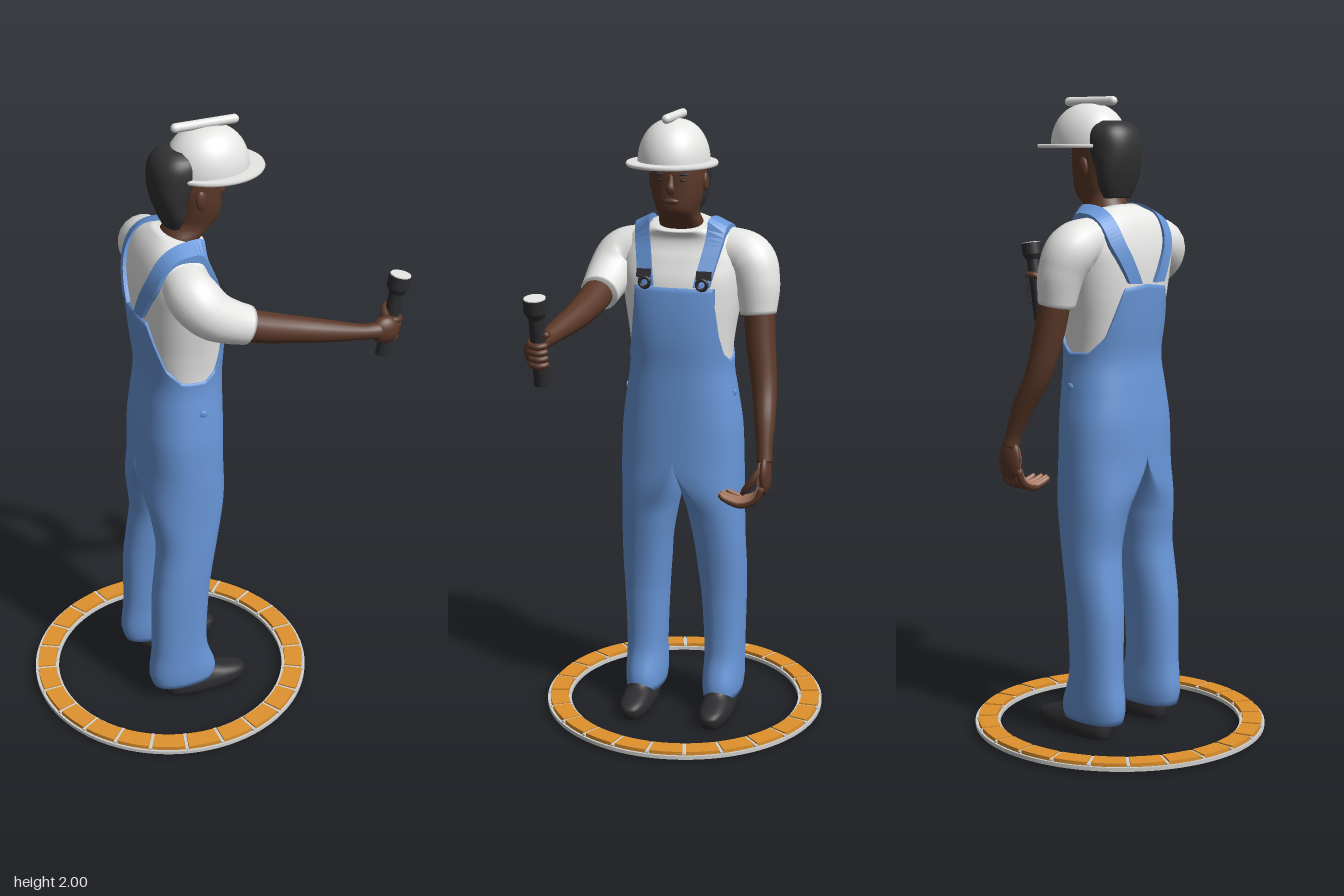
import * as THREE from 'three';

const mat = (name, color) => {
  const m = new THREE.MeshStandardMaterial({ color });
  m.name = name;
  return m;
};

// Smooth interpolation of table rows [t, a, b, ...]
function sample(rows, t) {
  let i = 0;
  while (i < rows.length - 2 && t > rows[i + 1][0]) i++;
  const p = rows[i], q = rows[i + 1], o = rows[i - 1] || p, r = rows[i + 2] || q;
  const h = q[0] - p[0], s = THREE.MathUtils.clamp((t - p[0]) / h, 0, 1);
  return p.slice(1).map((a, k) => {
    const b = q[k + 1];
    const m0 = (b - o[k + 1]) / (q[0] - o[0]) * h, m1 = (r[k + 1] - a) / (r[0] - p[0]) * h;
    return a * (2 * s ** 3 - 3 * s * s + 1) + m0 * (s ** 3 - 2 * s * s + s) + b * (3 * s * s - 2 * s ** 3) + m1 * (s ** 3 - s * s);
  });
}

// Surface closed around u, fn(u, v) returns a point
function grid(nu, nv, fn) {
  const pos = [], idx = [];
  for (let j = 0; j <= nv; j++) for (let i = 0; i < nu; i++) pos.push(...fn(i / nu, j));
  for (let j = 0; j < nv; j++) for (let i = 0; i < nu; i++) {
    const k = (i + 1) % nu, a = j * nu + i, b = j * nu + k, c = a + nu, d = b + nu;
    idx.push(a, c, b, b, c, d);
  }
  const g = new THREE.BufferGeometry();
  g.setAttribute('position', new THREE.Float32BufferAttribute(pos, 3));
  g.setIndex(idx);
  g.computeVertexNormals();
  return g;
}

// Point on an oval section [xBack, xFront, zMin, zMax]
function oval([xb, xf, z0, z1], u, n, off = 0) {
  const a = u * Math.PI * 2, c = Math.cos(a), s = Math.sin(a), e = 2 / n;
  return [(xb + xf) / 2 + Math.sign(c) * Math.abs(c) ** e * ((xf - xb) / 2 + off),
    (z0 + z1) / 2 + Math.sign(s) * Math.abs(s) ** e * ((z1 - z0) / 2 + off)];
}

// Upright loft of oval sections with closed ends
function loft(rows, n = 2.3, nu = 40, nv = 40) {
  const y0 = rows[0][0], y1 = rows[rows.length - 1][0];
  return grid(nu, nv + 2, (u, j) => {
    const y = y0 + (y1 - y0) * THREE.MathUtils.clamp((j - 1) / nv, 0, 1);
    const s = sample(rows, y);
    if (j === 0 || j === nv + 2) return [(s[0] + s[1]) / 2, y, (s[2] + s[3]) / 2];
    const [x, z] = oval(s, u, n);
    return [x, y, z];
  });
}
const even = rows => rows.map(([y, b, f, r]) => [y, b, f, -r, r]);

// Limb through points [x, y, z, radius]
function limb(pts, nu = 20, nv = 24) {
  const curve = new THREE.CatmullRomCurve3(pts.map(p => new THREE.Vector3(p[0], p[1], p[2])));
  const fr = curve.computeFrenetFrames(nv), radii = pts.map((p, i) => [i / (pts.length - 1), p[3]]);
  return grid(nu, nv + 2, (u, j) => {
    const k = THREE.MathUtils.clamp(j - 1, 0, nv), a = u * Math.PI * 2;
    const r = j === 0 || j === nv + 2 ? 0 : sample(radii, k / nv)[0];
    return curve.getPoint(k / nv).addScaledVector(fr.normals[k], r * Math.cos(a))
      .addScaledVector(fr.binormals[k], -r * Math.sin(a)).toArray();
  });
}

// Flat ring sector lying between heights y0 and y1
function sector(r0, r1, y0, y1, half) {
  const s = new THREE.Shape();
  s.absarc(0, 0, r1, -half, half, false);
  if (half < 3) s.absarc(0, 0, r0, half, -half, true);
  else s.holes.push(new THREE.Path().absarc(0, 0, r0, -half, half, true));
  return new THREE.ExtrudeGeometry(s, { depth: y1 - y0, bevelEnabled: false, curveSegments: half < 3 ? 6 : 96 })
    .rotateX(-Math.PI / 2).translate(0, y0, 0);
}

const TOP = 1.668, NT = 2.4;
const TORSO = even([[0.86, -0.217, 0.043, 0.194], [1.0, -0.215, 0.043, 0.188], [1.1, -0.205, 0.043, 0.174],
  [1.2, -0.195, 0.043, 0.16], [1.3, -0.205, 0.048, 0.168], [1.4, -0.213, 0.043, 0.185], [1.48, -0.215, 0.03, 0.198],
  [1.54, -0.21, 0.006, 0.205], [1.59, -0.195, -0.012, 0.195], [1.63, -0.172, -0.015, 0.158], [TOP, -0.137, 0.004, 0.084]]);

// Point of the torso surface at angle deg (front = 0, up = 90) in the plane z
function onTorso(deg, z, off) {
  const c = Math.cos(deg * Math.PI / 180), s = Math.sin(deg * Math.PI / 180);
  let lo = 0, hi = 0.3;
  for (let i = 0; i < 24; i++) {
    const r = (lo + hi) / 2, x = -0.1 + r * c, y = 1.46 + r * s;
    const [xb, xf, , rz] = sample(TORSO, Math.min(y, TOP));
    const f = (Math.abs(x - (xb + xf) / 2) / ((xf - xb) / 2)) ** NT + Math.abs(z / rz) ** NT;
    if (y < TOP && f < 1) lo = r; else hi = r;
  }
  return [-0.1 + (lo + off) * c, 1.46 + (lo + off) * s, z];
}

export function createModel() {
  const model = new THREE.Group();
  const blue = mat('overallsBlue', 0x6896d8), white = mat('white', 0xe9eae8), skin = mat('skin', 0x5b3828),
    palm = mat('palmSkin', 0xa87a62), black = mat('black', 0x2c2c2f), orange = mat('orange', 0xe0922d),
    grey = mat('ringGrey', 0xd0d0ce), hairMat = mat('hairBlack', 0x333234);
  const add = (name, geo, m, p = [0, 0, 0], s = [1, 1, 1], parent = model) => {
    const mesh = new THREE.Mesh(geo, m);
    mesh.name = name;
    mesh.position.set(...p);
    mesh.scale.set(...s);
    parent.add(mesh);
    return mesh;
  };
  const ball = new THREE.SphereGeometry(1, 28, 20);

  // Tiled floor ring
  const ring = new THREE.Group();
  ring.name = 'floorRing';
  ring.position.x = -0.11;
  model.add(ring);
  add('ringBase', sector(0.386, 0.466, 0.012, 0.02, Math.PI), grey, undefined, undefined, ring);
  add('ringOuterRim', sector(0.459, 0.466, 0.02, 0.024, Math.PI), grey, undefined, undefined, ring);
  add('ringInnerRim', sector(0.386, 0.393, 0.02, 0.024, Math.PI), grey, undefined, undefined, ring);
  const tileGeo = sector(0.396, 0.456, 0.02, 0.034, 0.117), barGeo = new THREE.BoxGeometry(0.072, 0.01, 0.01);
  for (let i = 0; i < 24; i++) {
    const a = i * Math.PI / 12;
    add('ringTile', tileGeo, orange, undefined, undefined, ring).rotation.y = a + Math.PI / 24;
    add('ringDivider', barGeo, grey, [0.426 * Math.cos(a), 0.025, -0.426 * Math.sin(a)], undefined, ring).rotation.y = a;
  }

  // Shirt, its neckline sloping down to the front
  const shirt = loft(TORSO.slice(1), NT, 64, 60), sp = shirt.attributes.position;
  for (let i = 0; i < sp.count; i++) {
    const y = sp.getY(i);
    sp.setY(i, y - Math.max(0, y - 1.55) * (sp.getX(i) + 0.12) * 2.5);
  }
  shirt.computeVertexNormals();
  add('shirt', shirt, white);

  // Overalls with a bib in front and a lower cut at the sides
  const cut = [[0, 1.46], [36, 1.46], [39, 1.4], [50, 1.31], [62, 1.25], [80, 1.22], [108, 1.225], [130, 1.27], [146, 1.36], [156, 1.42], [180, 1.43]];
  const topAt = deg => {
    let i = 0;
    while (i < cut.length - 2 && deg > cut[i + 1][0]) i++;
    return THREE.MathUtils.mapLinear(deg, cut[i][0], cut[i + 1][0], cut[i][1], cut[i + 1][1]);
  };
  add('overallsBody', grid(120, 41, (u, j) => {
    const y = 0.9 + (topAt(Math.abs(u > 0.5 ? 1 - u : u) * 360) - 0.9) * Math.min(j / 40, 1);
    const [x, z] = oval(sample(TORSO, y), u, NT, j === 41 ? -0.004 : 0.007);
    return [x, y, z];
  }), blue);

  // Trouser leg sections turn into half of the body section at the top
  const legRows = [[0.055, -0.225, -0.005, 0.072, 0.195], [0.1, -0.235, -0.005, 0.068, 0.2], [0.2, -0.225, -0.035, 0.07, 0.2],
    [0.4, -0.22, -0.03, 0.06, 0.205], [0.5, -0.208, -0.018, 0.05, 0.207], [0.6, -0.197, 0, 0.04, 0.205],
    [0.7, -0.208, 0.02, 0.022, 0.202], [0.8, -0.22, 0.037, 0.006, 0.201], [0.9, -0.223, 0.048, 0, 0.2]];
  const leg = s => grid(48, 45, (u, j) => {
    const y = 0.055 + 0.845 * Math.max(j - 1, 0) / 44, row = sample(legRows, y), v = s > 0 ? u : 1 - u;
    if (j === 0) return [-0.115, y, s * 0.134];
    const [x, z] = oval(row, v, 2.3), [bx, bz] = oval(sample(TORSO, y), v, NT, 0.007);
    const t = THREE.MathUtils.smoothstep(y, 0.7, 0.9);
    return [x + (bx - x) * t, y, s * (z + (Math.max(bz, 0) - z) * t)];
  });
  const shoeRows = even([[0, -0.175, 0.095, 0.044], [0.02, -0.18, 0.105, 0.052], [0.045, -0.18, 0.103, 0.051],
    [0.06, -0.178, 0.07, 0.046], [0.078, -0.17, 0.01, 0.04], [0.12, -0.15, -0.03, 0.03]]);
  const strapZ = [[0, 0.088], [45, 0.107], [90, 0.128], [130, 0.122], [160, 0.09], [192, 0.055]];
  for (const s of [1, -1]) {
    const side = s > 0 ? 'left' : 'right';
    add(side + 'TrouserLeg', leg(s), blue);
    add(side + 'Shoe', loft(shoeRows, 2.5, 40, 20), black, [0, 0, s * 0.136]);
    // Shoulder straps following the torso
    const strap = grid(4, 48, (u, j) => {
      const k = Math.round(u * 4), deg = 2 + j * 190 / 48;
      const w = k === 0 || k === 3 ? -0.025 : 0.025;
      return onTorso(deg, s * sample(strapZ, deg)[0] + w, k < 2 ? 0.013 : -0.012);
    }).toNonIndexed();
    strap.computeVertexNormals();
    add(side + 'Strap', strap, blue);
    // Buckles and hip buttons
    add(side + 'Buckle', new THREE.BoxGeometry(0.014, 0.026, 0.046), black, onTorso(18, s * 0.096, 0.014)).rotation.z = 0.3;
    add(side + 'BuckleClip', new THREE.TorusGeometry(0.016, 0.006, 8, 20).rotateY(Math.PI / 2), black, onTorso(6, s * 0.092, 0.015));
    add(side + 'HipButton', ball, blue, [-0.06, 1.115, s * 0.178], [0.012, 0.012, 0.005]);
    // Ears, eyes and brows
    add(side + 'Ear', ball, skin, [-0.03, 1.785, s * 0.085], [0.017, 0.03, 0.01]);
    add(side + 'Eye', ball, black, [0.055, 1.797, s * 0.034], [0.005, 0.004, 0.01]);
    add(side + 'Brow', ball, hairMat, [0.055, 1.815, s * 0.036], [0.007, 0.004, 0.018]);
  }

  // Head
  add('head', loft(even([[1.57, -0.125, -0.04, 0.06], [1.62, -0.125, -0.025, 0.068], [1.655, -0.125, 0.002, 0.069], [1.68, -0.113, 0.035, 0.063],
    [1.7, -0.1, 0.055, 0.065], [1.73, -0.095, 0.06, 0.074], [1.77, -0.1, 0.061, 0.082], [1.82, -0.12, 0.063, 0.086],
    [1.87, -0.125, 0.058, 0.085], [1.92, -0.09, 0.03, 0.06]]), 2.2), skin);
  add('nose', limb([[0.056, 1.815, 0, 0.007], [0.063, 1.79, 0, 0.01], [0.067, 1.77, 0, 0.014], [0.058, 1.757, 0, 0.009]], 14, 12), skin);
  add('lips', ball, skin, [0.056, 1.733, 0], [0.012, 0.01, 0.024]);
  add('hair', loft(even([[1.69, -0.118, -0.07, 0.055], [1.73, -0.135, -0.055, 0.075], [1.78, -0.152, -0.045, 0.084],
    [1.83, -0.161, -0.01, 0.0885], [1.88, -0.156, 0, 0.086], [1.91, -0.138, -0.01, 0.07], [1.925, -0.115, -0.04, 0.045]]), 2.2), hairMat);

  // Hard hat
  const dome = [];
  for (let i = 0; i <= 20; i++) {
    const a = i / 20 * Math.PI / 2;
    dome.push(new THREE.Vector2(i === 20 ? 0 : Math.cos(a) ** 0.85, Math.sin(a)));
  }
  add('hatDome', new THREE.LatheGeometry(dome, 48), white, [0.023, 1.85, 0], [0.13, 0.13, 0.11]);
  const rim = [[0, 0], [0.98, 0], [1, 0.006], [0.98, 0.012], [0, 0.012]].map(p => new THREE.Vector2(...p));
  add('hatBrim', new THREE.LatheGeometry(rim, 64), white, [0.045, 1.843, 0], [0.155, 1, 0.14]);
  add('hatRidge', new THREE.CapsuleGeometry(0.014, 0.185, 6, 14).rotateZ(Math.PI / 2), white, [0.017, 1.986, 0]);

  // Raised left arm
  add('leftSleeve', limb([[-0.11, 1.565, 0.12, 0.07], [-0.1, 1.535, 0.2, 0.079], [-0.062, 1.49, 0.226, 0.076],
    [0, 1.455, 0.234, 0.067], [0.055, 1.433, 0.236, 0.06]]), white);
  add('leftArm', limb([[0, 1.452, 0.236, 0.05], [0.1, 1.42, 0.244, 0.048], [0.2, 1.397, 0.255, 0.042],
    [0.31, 1.377, 0.275, 0.034], [0.42, 1.36, 0.292, 0.024], [0.47, 1.355, 0.293, 0.028]]), skin);
  add('leftHand', ball, skin, [0.49, 1.352, 0.29], [0.048, 0.045, 0.03]);

  // Torch with gripping fingers
  const torch = new THREE.Group();
  torch.name = 'torch';
  torch.position.set(0.523, 1.385, 0.268);
  torch.rotation.z = -0.17;
  model.add(torch);
  add('torchBody', new THREE.CylinderGeometry(0.023, 0.023, 0.23, 24), black, [0, -0.02, 0], undefined, torch);
  add('torchNeck', new THREE.CylinderGeometry(0.034, 0.024, 0.02, 24), black, [0, 0.085, 0], undefined, torch);
  add('torchHead', new THREE.CylinderGeometry(0.035, 0.035, 0.04, 24), black, [0, 0.113, 0], undefined, torch);
  add('torchLens', new THREE.CylinderGeometry(0.032, 0.032, 0.004, 24), white, [0, 0.134, 0], undefined, torch);
  const grip = new THREE.TorusGeometry(0.025, 0.0105, 10, 24, 4.6).rotateX(Math.PI / 2);
  for (let i = 0; i < 4; i++) add('leftFinger', grip, skin, [0, -0.066 + i * 0.02, 0], undefined, torch).rotation.y = 1.2;
  add('leftThumb', limb([[-0.03, 0.0, 0.015, 0.013], [-0.015, 0.02, -0.022, 0.012], [0.015, 0.026, -0.03, 0.009]], 12, 12), skin, undefined, undefined, torch);

  // Hanging right arm
  add('rightSleeve', limb([[-0.11, 1.57, -0.12, 0.07], [-0.1, 1.537, -0.21, 0.08], [-0.084, 1.47, -0.24, 0.072], [-0.07, 1.37, -0.248, 0.057]]), white);
  add('rightArm', limb([[-0.072, 1.42, -0.248, 0.05], [-0.05, 1.28, -0.262, 0.047], [-0.02, 1.15, -0.282, 0.04],
    [0.03, 1.05, -0.296, 0.033], [0.062, 0.97, -0.303, 0.025], [0.072, 0.93, -0.306, 0.026]]), skin);
  add('rightHand', ball, skin, [0.074, 0.89, -0.308], [0.043, 0.065, 0.02]);
  add('rightPalm', ball, palm, [0.074, 0.888, -0.3], [0.038, 0.06, 0.018]);
  for (let i = 0; i < 4; i++) {
    const x = 0.042 + i * 0.022, e = [0.015, 0, 0, 0.012][i];
    const finger = (r, lift) => limb([[x, 0.86, -0.306 + lift, r], [x, 0.815 + lift, -0.284 + lift, r], [x - 0.002, 0.795 + lift, -0.24, r],
      [x - 0.004, 0.8 + lift, -0.195 - e, r * 0.9], [x - 0.006, 0.813 + lift, -0.162 - e, r * 0.65]], 10, 16);
    add('rightFinger', finger(0.0115, 0), skin);
    add('rightFingerInside', finger(0.009, 0.005), palm);
  }
  add('rightThumb', limb([[0.09, 0.92, -0.3, 0.013], [0.108, 0.885, -0.28, 0.012], [0.108, 0.85, -0.255, 0.011], [0.1, 0.83, -0.242, 0.007]], 10, 14), skin);
  return model;
}
